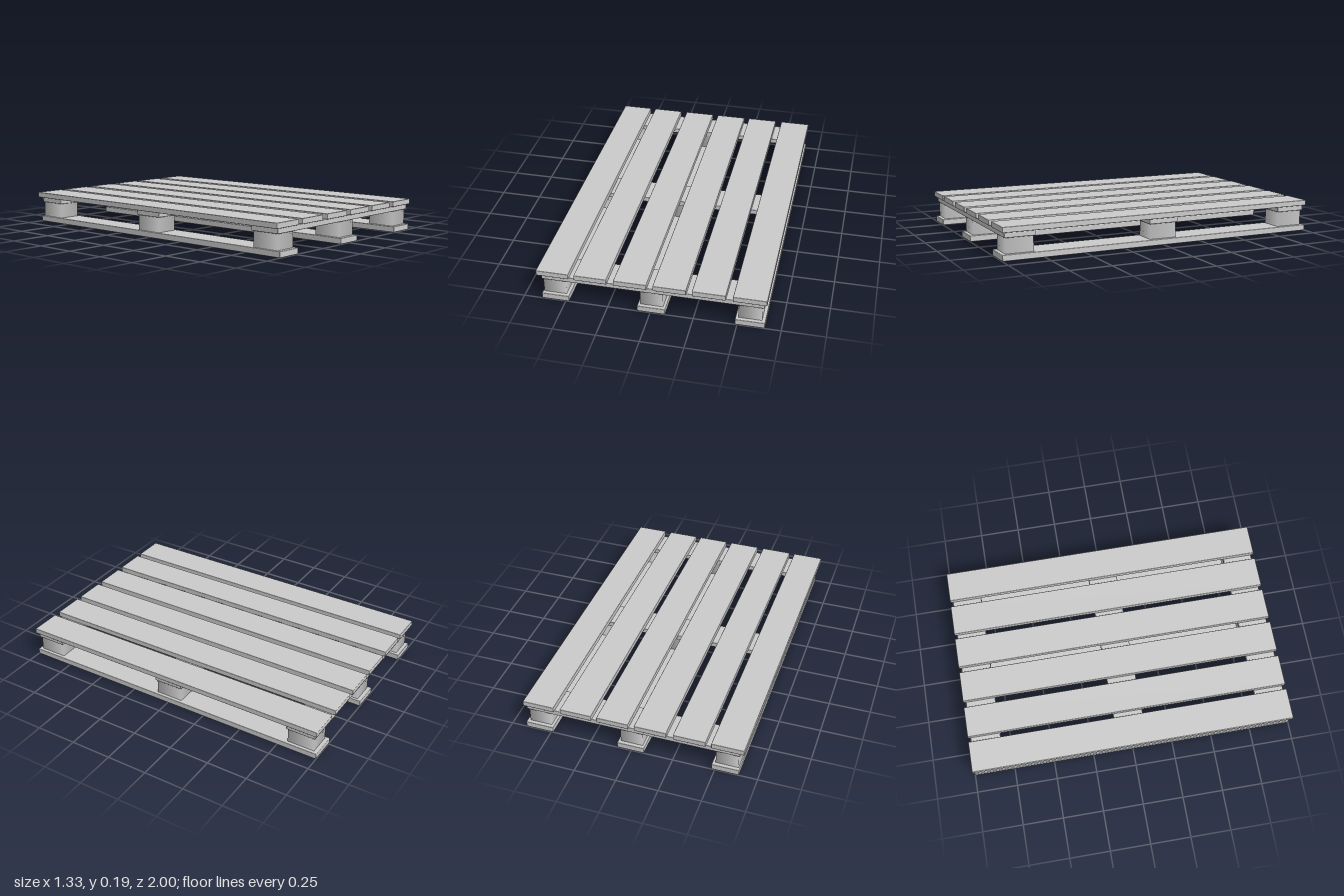
import * as THREE from 'three';
import { RoundedBoxGeometry } from 'three/addons/geometries/RoundedBoxGeometry.js';

const material = new THREE.MeshStandardMaterial({ color: 0xcccccc });

export function createModel() {
  const pallet = new THREE.Group();
  pallet.name = 'pallet';

  function add(name, geometry, [x0, x1], [y0, y1], [z0, z1]) {
    const mesh = new THREE.Mesh(geometry, material);
    mesh.name = name;
    mesh.position.set((x0 + x1) / 2, (y0 + y1) / 2, (z0 + z1) / 2);
    pallet.add(mesh);
  }

  // Plank with slightly softened edges
  function plank(name, x, y, z) {
    const geometry = new RoundedBoxGeometry(x[1] - x[0], y[1] - y[0], z[1] - z[0], 2, 0.004);
    add(name, geometry, x, y, z);
  }

  // Square spacer with smooth-shaded sides
  function block(name, x, y, z) {
    const geometry = new THREE.CylinderGeometry(Math.SQRT1_2, Math.SQRT1_2, 1, 4);
    geometry.rotateY(Math.PI / 4);
    geometry.scale(x[1] - x[0], y[1] - y[0], z[1] - z[0]);
    add(name, geometry, x, y, z);
  }

  // Six lengthwise deck boards
  for (const x of [-0.668, -0.444, -0.212, 0.016, 0.241, 0.473]) {
    plank('deckBoard', [x, x + 0.192], [0.16, 0.193], [-1, 1]);
  }

  // Three cross boards under the deck
  const rows = [-0.893, -0.002, 0.893];
  for (const z of rows) {
    plank('crossBoard', [-0.642, 0.65], [0.128, 0.16], [z - 0.092, z + 0.092]);
  }

  // Three bottom runners, each carrying three blocks
  const runners = [
    { board: [-0.642, -0.48], spacer: [-0.633, -0.499] },
    { board: [-0.077, 0.087], spacer: [-0.062, 0.071] },
    { board: [0.487, 0.658], spacer: [0.504, 0.638] },
  ];
  for (const { board, spacer } of runners) {
    plank('bottomRunner', board, [0, 0.036], [-1, 1]);
    for (const z of rows) {
      block('spacerBlock', spacer, [0.036, 0.128], [z - 0.084, z + 0.084]);
    }
  }

  return pallet;
}
